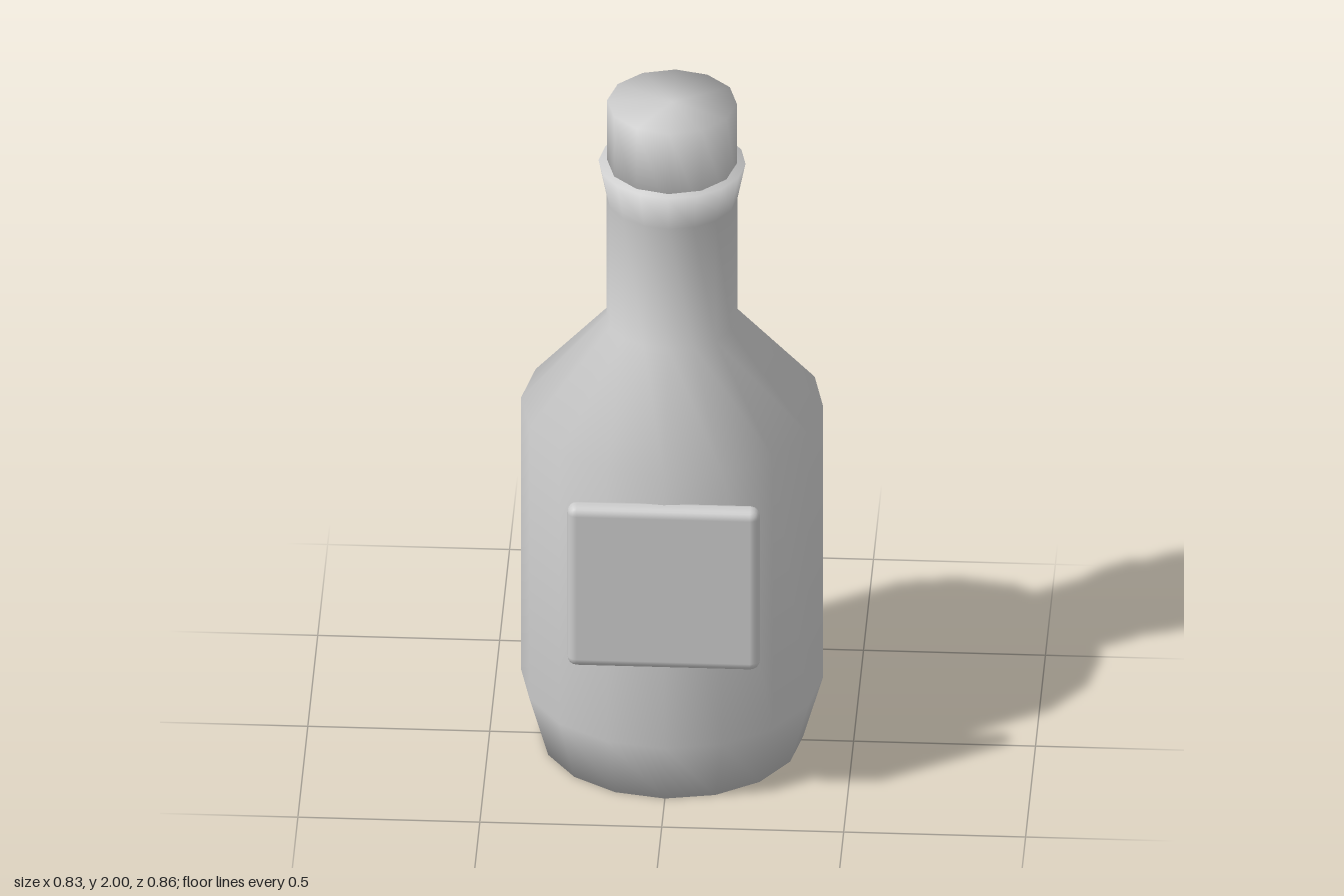
import * as THREE from 'three';
import { RoundedBoxGeometry } from 'three/addons/geometries/RoundedBoxGeometry.js';

export function createModel() {
  const group = new THREE.Group();
  group.name = 'bottle';
  const grey = new THREE.MeshStandardMaterial({ color: 0xcccccc });
  grey.name = 'light grey';

  const axisZ = -0.017;
  // Turned part from [radius, height] pairs, bottom to top
  const turned = (name, profile, sides) => {
    const points = profile.map(([r, y]) => new THREE.Vector2(r, y));
    const mesh = new THREE.Mesh(new THREE.LatheGeometry(points, sides), grey);
    mesh.name = name;
    mesh.position.z = axisZ;
    group.add(mesh);
  };

  // Body, shoulder, neck and flared lip
  turned('bottleBody', [
    [0, 0], [0.36, 0], [0.415, 0.19], [0.415, 1.05],
    [0.18, 1.32], [0.18, 1.7], [0.202, 1.81], [0, 1.81],
  ], 16);

  // Stopper, sunk a little into the neck
  turned('cork', [[0, 1.74], [0.178, 1.74], [0.178, 2], [0, 2]], 12);

  // Raised label plate on the front
  const label = new THREE.Mesh(new RoundedBoxGeometry(0.53, 0.505, 0.061, 2, 0.027), grey);
  label.name = 'label';
  label.position.set(0, 0.708, 0.4);
  group.add(label);

  return group;
}
